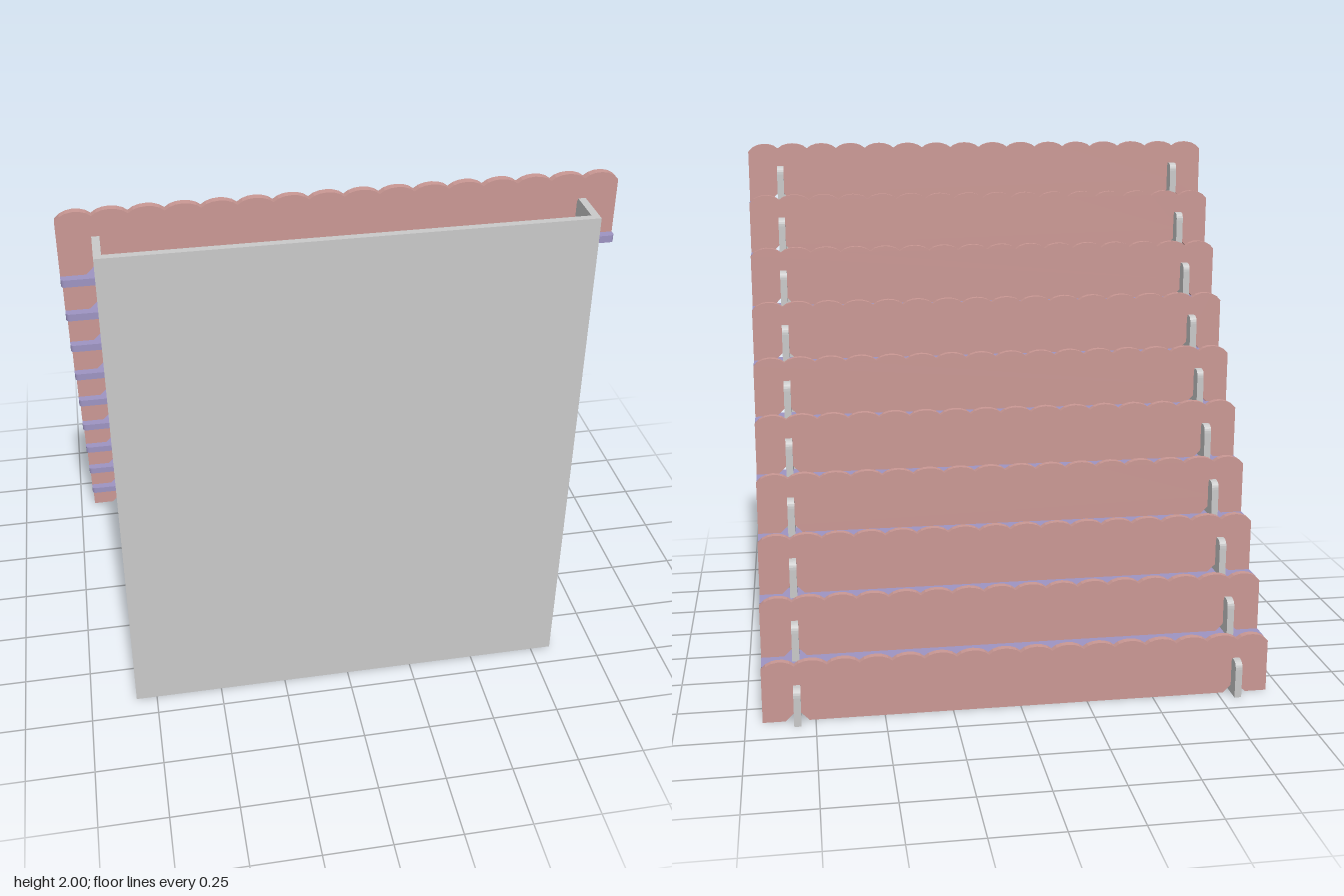
import * as THREE from 'three';

const STEPS = 10, RISE = 0.1967, RUN = 0.1214, BACK = -0.605;
const HALF = 0.94;          // half width of risers and shelves
const T = 0.026;            // board thickness
const IN = 0.802, OUT = 0.828; // side panel inner and outer faces

// Riser board: scalloped top edge and two flared slots in the bottom edge
function riserShape() {
  const h = 0.23, dip = 0.02, bumps = 16, w = (2 * HALF) / bumps, slot = 0.07, flare = 0.03;
  const s = new THREE.Shape();
  s.moveTo(-HALF, 0);
  for (const [a, b] of [[-OUT, -IN], [IN, OUT]]) {
    s.lineTo(a - flare, 0);
    s.lineTo(a, flare);
    s.lineTo(a, slot);
    s.lineTo(b, slot);
    s.lineTo(b, flare);
    s.lineTo(b + flare, 0);
  }
  s.lineTo(HALF, 0);
  s.lineTo(HALF, h - dip - 0.012);
  for (let i = 0; i < bumps; i++) {
    const x = HALF - i * w;
    const end = i === bumps - 1 ? h - dip - 0.012 : h - dip;
    s.bezierCurveTo(x - w * 0.22, h + 0.007, x - w * 0.78, h + 0.007, x - w, end);
  }
  s.lineTo(-HALF, 0);
  return s;
}

// Stepped side panel, drawn with x pointing to the back
function sideShape() {
  const s = new THREE.Shape();
  s.moveTo(-0.667, 0);
  s.lineTo(0.667, 0);
  for (let i = 0; i < STEPS; i++) {
    const r = -BACK - i * RUN, b = i * RISE, last = i === STEPS - 1;
    // rounded tab behind the riser
    s.lineTo(r + 0.064, b + 0.11);
    s.quadraticCurveTo(r + 0.064, b + 0.142, r + 0.034, b + 0.142);
    s.lineTo(r + 0.022, b + 0.142);
    // slot holding the riser
    s.lineTo(r + T / 2, b + 0.125);
    s.lineTo(r + T / 2, b + 0.07);
    s.lineTo(r - T / 2, b + 0.07);
    if (last) {
      s.lineTo(r - T / 2, b + 0.125);
      s.lineTo(r - 0.022, b + 0.142);
    } else {
      // sloping shoulder up to the next shelf
      s.lineTo(r - T / 2, b + 0.158);
      s.lineTo(r - 0.034, b + 0.173);
      s.lineTo(r + 0.064 - RUN, b + 0.185);
    }
  }
  s.lineTo(-0.667, (STEPS - 1) * RISE + 0.142);
  s.lineTo(-0.667, 0);
  return s;
}

// Shelf board with slightly rounded corners
function shelfShape() {
  const d = 0.0715, r = 0.014;
  const s = new THREE.Shape();
  s.absarc(HALF - r, d - r, r, 0, Math.PI / 2);
  s.absarc(-HALF + r, d - r, r, Math.PI / 2, Math.PI);
  s.absarc(-HALF + r, -d + r, r, Math.PI, Math.PI * 1.5);
  s.absarc(HALF - r, -d + r, r, Math.PI * 1.5, Math.PI * 2);
  return s;
}

const extrude = (shape, depth, curveSegments = 6) =>
  new THREE.ExtrudeGeometry(shape, { depth, bevelEnabled: false, curveSegments });

export function createModel() {
  const group = new THREE.Group();
  const grey = new THREE.MeshStandardMaterial({ name: 'panel grey', color: 0xc9c9c9 });
  const pink = new THREE.MeshStandardMaterial({ name: 'riser pink', color: 0xca9894 });
  const purple = new THREE.MeshStandardMaterial({ name: 'shelf purple', color: 0x9d94c2 });

  const add = (name, geo, mat, x, y, z) => {
    const m = new THREE.Mesh(geo, mat);
    m.name = name;
    m.position.set(x, y, z);
    group.add(m);
  };

  // Open box: front panel between two stepped side panels
  const top = (STEPS - 1) * RISE + 0.142;
  add('frontPanel', new THREE.BoxGeometry(2 * IN, top, T), grey, 0, top / 2, 0.667 - T / 2);
  const side = extrude(sideShape(), OUT - IN).rotateY(Math.PI / 2);
  add('leftSidePanel', side, grey, IN, 0, 0);
  add('rightSidePanel', side, grey, -OUT, 0, 0);

  // Risers and the shelves under them
  const riser = extrude(riserShape(), T).translate(0, 0, -T / 2);
  const shelf = extrude(shelfShape(), T).rotateX(-Math.PI / 2);
  for (let i = 0; i < STEPS; i++) {
    const z = BACK + i * RUN, y = i * RISE;
    add('riser' + (i + 1), riser, pink, 0, y, z);
    if (i > 0) add('shelf' + i, shelf, purple, 0, y - T + 0.002, z - 0.0285);
  }
  return group;
}
